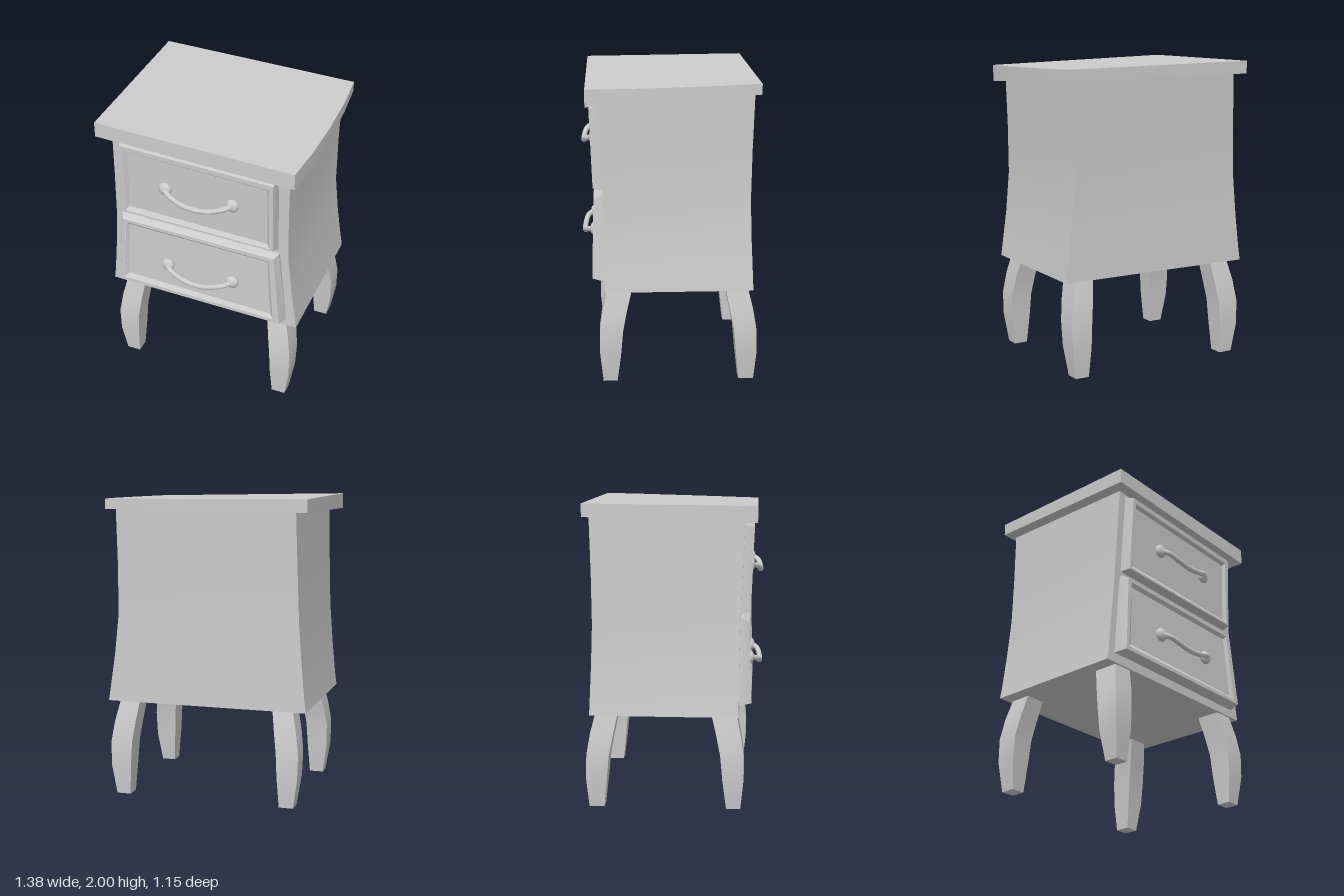
import * as THREE from 'three';
import { toCreasedNormals } from 'three/addons/utils/BufferGeometryUtils.js';

const material = new THREE.MeshStandardMaterial({ color: 0xcccccc });

function addMesh(parent, name, geometry) {
  const mesh = new THREE.Mesh(geometry, material);
  mesh.name = name;
  parent.add(mesh);
  return mesh;
}

// Closed solid through equal-length rings of [x, y, z], capped at both ends
function loft(rings) {
  const n = rings[0].length;
  const last = rings.length - 1;
  const out = [];
  const tri = (a, b, c) => out.push(...a, ...b, ...c);
  for (let r = 0; r < last; r++) {
    for (let i = 0; i < n; i++) {
      const j = (i + 1) % n;
      tri(rings[r][i], rings[r][j], rings[r + 1][j]);
      tri(rings[r][i], rings[r + 1][j], rings[r + 1][i]);
    }
  }
  for (let i = 1; i < n - 1; i++) {
    tri(rings[0][0], rings[0][i + 1], rings[0][i]);
    tri(rings[last][0], rings[last][i], rings[last][i + 1]);
  }
  const geometry = new THREE.BufferGeometry();
  geometry.setAttribute('position', new THREE.Float32BufferAttribute(out, 3));
  return toCreasedNormals(geometry, 0.45);
}

// Horizontal rectangle; the x and z limits may come in either order
function level(y, xa, xb, za, zb) {
  const x0 = Math.min(xa, xb), x1 = Math.max(xa, xb);
  const z0 = Math.min(za, zb), z1 = Math.max(za, zb);
  return [[x0, y, z1], [x1, y, z1], [x1, y, z0], [x0, y, z0]];
}

// Lopsided top board: every height is blended from its four corners
function topBoard() {
  const outline = [[-0.69, 0.535], [0.655, 0.535], [0.678, 0.27], [0.687, 0],
    [0.681, -0.33], [0.66, -0.573], [-0.69, -0.573]];
  const ring = (fl, fr, bl, br) => outline.map(([x, z]) => {
    const u = (x + 0.69) / 1.35, v = (0.535 - z) / 1.108;
    const front = fl + (fr - fl) * u, back = bl + (br - bl) * u;
    return [x, front + (back - front) * v, z];
  });
  return loft([ring(1.885, 1.845, 1.915, 1.917), ring(1.988, 1.955, 2.0, 1.985)]);
}

// Corner lists run bottom left, bottom right, top right, top left
function drawerFront({ back, front, rim, panel, zBottom, zTop }) {
  const [yLow, yHigh] = [front[0][1], front[3][1]];
  const onFace = (corners, sink) => corners.map(([x, y]) =>
    [x, y, zBottom + (zTop - zBottom) * (y - yLow) / (yHigh - yLow) - sink]);
  const base = back.map(([x, y]) => [x, y, 0.40]);
  const step = back.map(([x, y], i) => [x, y, i < 2 ? 0.435 : 0.45]);
  return loft([base, step, onFace(front, 0), onFace(rim, 0), onFace(panel, 0.02)]);
}

// Sagging bar between two flattened knobs
function pull(y) {
  const group = new THREE.Group();
  group.name = 'drawerPull';
  const points = [[-0.235, 0, 0.5], [-0.185, -0.015, 0.535], [-0.09, -0.046, 0.553], [0, -0.056, 0.556],
    [0.09, -0.046, 0.553], [0.185, -0.015, 0.535], [0.235, 0, 0.5]];
  const path = new THREE.CatmullRomCurve3(points.map(p => new THREE.Vector3(...p)));
  addMesh(group, 'pullBar', new THREE.TubeGeometry(path, 32, 0.018, 12));
  for (const side of [-1, 1]) {
    const knob = addMesh(group, 'pullKnob', new THREE.SphereGeometry(0.046, 20, 14));
    knob.scale.z = 0.65;
    knob.position.set(side * 0.233, 0, 0.49);
  }
  group.position.y = y;
  return group;
}

export function createModel() {
  const model = new THREE.Group();
  model.name = 'nightstand';

  // Cabinet, waisted and flared at the foot: y, left x, right x, back z, front z
  const sections = [
    [0.635, -0.687, 0.67, -0.54, 0.425],
    [0.72, -0.675, 0.657, -0.537, 0.425],
    [0.95, -0.653, 0.625, -0.528, 0.425],
    [1.22, -0.632, 0.598, -0.521, 0.43],
    [1.55, -0.62, 0.595, -0.526, 0.442],
    [1.92, -0.61, 0.6, -0.537, 0.457],
  ];
  addMesh(model, 'cabinet', loft(sections.map(s => level(...s))));
  addMesh(model, 'topBoard', topBoard());

  // Drawers
  addMesh(model, 'upperDrawer', drawerFront({
    back: [[-0.575, 1.295], [0.53, 1.28], [0.525, 1.83], [-0.555, 1.865]],
    front: [[-0.555, 1.305], [0.515, 1.293], [0.51, 1.812], [-0.535, 1.842]],
    rim: [[-0.53, 1.318], [0.49, 1.305], [0.48, 1.778], [-0.51, 1.808]],
    panel: [[-0.505, 1.35], [0.47, 1.33], [0.465, 1.76], [-0.49, 1.79]],
    zBottom: 0.495, zTop: 0.515,
  }));
  addMesh(model, 'lowerDrawer', drawerFront({
    back: [[-0.62, 0.7], [0.595, 0.69], [0.54, 1.245], [-0.58, 1.258]],
    front: [[-0.597, 0.712], [0.575, 0.703], [0.52, 1.228], [-0.56, 1.235]],
    rim: [[-0.57, 0.738], [0.53, 0.728], [0.487, 1.198], [-0.53, 1.213]],
    panel: [[-0.535, 0.77], [0.505, 0.752], [0.47, 1.178], [-0.518, 1.19]],
    zBottom: 0.505, zTop: 0.49,
  }));
  model.add(pull(1.573), pull(0.945));

  // Bowed legs: y, outer x, inner x, then outer and inner z for front and back
  const legSections = [
    [0.66, 0.59, 0.455, 0.405, 0.24, -0.505, -0.36],
    [0.5, 0.625, 0.478, 0.44, 0.28, -0.545, -0.392],
    [0.36, 0.645, 0.497, 0.46, 0.308, -0.568, -0.42],
    [0.2, 0.642, 0.505, 0.46, 0.322, -0.573, -0.435],
    [0, 0.612, 0.517, 0.44, 0.347, -0.556, -0.457],
  ].reverse();
  for (const side of [-1, 1]) {
    for (const [name, k] of [['frontLeg', 3], ['backLeg', 5]]) {
      addMesh(model, name, loft(legSections.map(s =>
        level(s[0], side * s[1], side * s[2], s[k], s[k + 1]))));
    }
  }
  return model;
}
